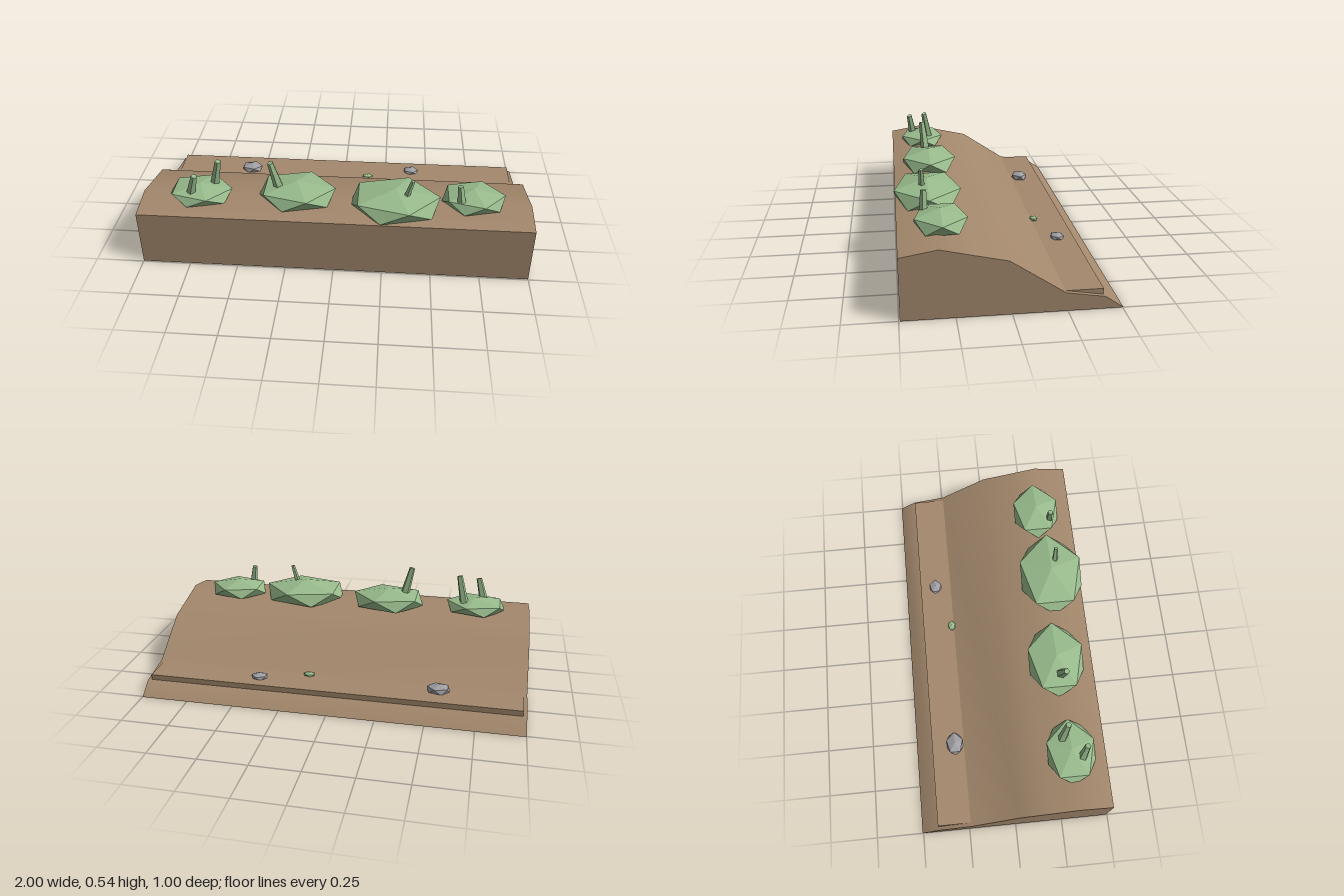
import * as THREE from 'three';
import { toCreasedNormals } from 'three/addons/utils/BufferGeometryUtils.js';

export function createModel() {
  const model = new THREE.Group();
  model.name = 'plantedBank';

  const material = (name, color) => {
    const m = new THREE.MeshStandardMaterial({ color });
    m.name = name;
    return m;
  };
  const soil = material('soil', 0xa3886c);
  const leaf = material('leaf', 0x98bb8c);
  const stone = material('stone', 0xa0a0a4);

  const add = (parent, name, geometry, mat) => {
    const mesh = new THREE.Mesh(geometry, mat);
    mesh.name = name;
    parent.add(mesh);
    return mesh;
  };

  // Earth bank: (z, y) profile swept along x, gently smoothed over the top
  const profile = [[0.495, 0], [0.495, 0.3], [0.32, 0.33], [0.17, 0.295], [0.015, 0.26],
    [-0.24, 0.09], [-0.42, 0.06], [-0.505, 0]];
  const shape = new THREE.Shape(profile.map(([z, y]) => new THREE.Vector2(-z, y)));
  const bank = new THREE.ExtrudeGeometry(shape, { depth: 2, bevelEnabled: false });
  bank.rotateY(Math.PI / 2).translate(-1, 0, 0);
  add(model, 'earthBank', toCreasedNormals(bank, 0.6), soil);

  // Flat ledge along the back
  add(model, 'backLedge', new THREE.BoxGeometry(1.96, 0.03, 0.215), soil)
    .position.set(0, 0.075, -0.3075);

  // Faceted lump standing on a vertex; rx and rz are the ring radii, h the half height
  const lump = (rx, h, rz) => {
    const g = new THREE.IcosahedronGeometry(1, 0);
    g.rotateZ(-Math.atan(2 / (1 + Math.sqrt(5))));
    g.scale(rx / 0.894, h, rz / 0.894);
    g.computeVertexNormals();
    return g;
  };

  // Tapered five-sided stalk between two points
  const stalk = (parent, base, top, r0, r1) => {
    const a = new THREE.Vector3(...base), b = new THREE.Vector3(...top);
    const dir = b.clone().sub(a);
    const g = new THREE.CylinderGeometry(r1, r0, dir.length(), 5).toNonIndexed();
    g.computeVertexNormals();
    const mesh = add(parent, 'stalk', g, leaf);
    mesh.position.copy(a).add(b).multiplyScalar(0.5);
    mesh.quaternion.setFromUnitVectors(new THREE.Vector3(0, 1, 0), dir.normalize());
  };

  // Row of low bushes on the crest, each with its stalks
  const bushes = [
    { at: [-0.7, 0.338, 0.312], size: [0.165, 0.05, 0.129], stalks: [
      [[-0.74, 0.355, 0.365], [-0.707, 0.475, 0.385], 0.025, 0.016],
      [[-0.638, 0.345, 0.27], [-0.6, 0.513, 0.298], 0.026, 0.016]] },
    { at: [-0.2, 0.347, 0.295], size: [0.2, 0.066, 0.1525], stalks: [
      [[-0.29, 0.375, 0.308], [-0.328, 0.533, 0.323], 0.027, 0.016]] },
    { at: [0.305, 0.341, 0.332], size: [0.23, 0.074, 0.176], stalks: [
      [[0.358, 0.375, 0.358], [0.39, 0.485, 0.362], 0.017, 0.011]] },
    { at: [0.705, 0.348, 0.292], size: [0.16, 0.056, 0.129], stalks: [
      [[0.64, 0.36, 0.365], [0.626, 0.465, 0.362], 0.023, 0.015]] },
  ];
  for (const { at, size, stalks } of bushes) {
    const bush = new THREE.Group();
    bush.name = 'bush';
    add(bush, 'foliage', lump(...size), leaf).position.set(...at);
    for (const s of stalks) stalk(bush, ...s);
    model.add(bush);
  }

  // Stones and a small tuft on the ledge
  const bits = [
    ['stone', stone, [-0.55, 0.1, -0.29], [0.06, 0.031, 0.046]],
    ['stone', stone, [0.4, 0.094, -0.328], [0.042, 0.023, 0.035]],
    ['tuft', leaf, [0.145, 0.094, -0.252], [0.03, 0.014, 0.021]],
  ];
  for (const [name, mat, at, size] of bits) add(model, name, lump(...size), mat).position.set(...at);

  return model;
}
